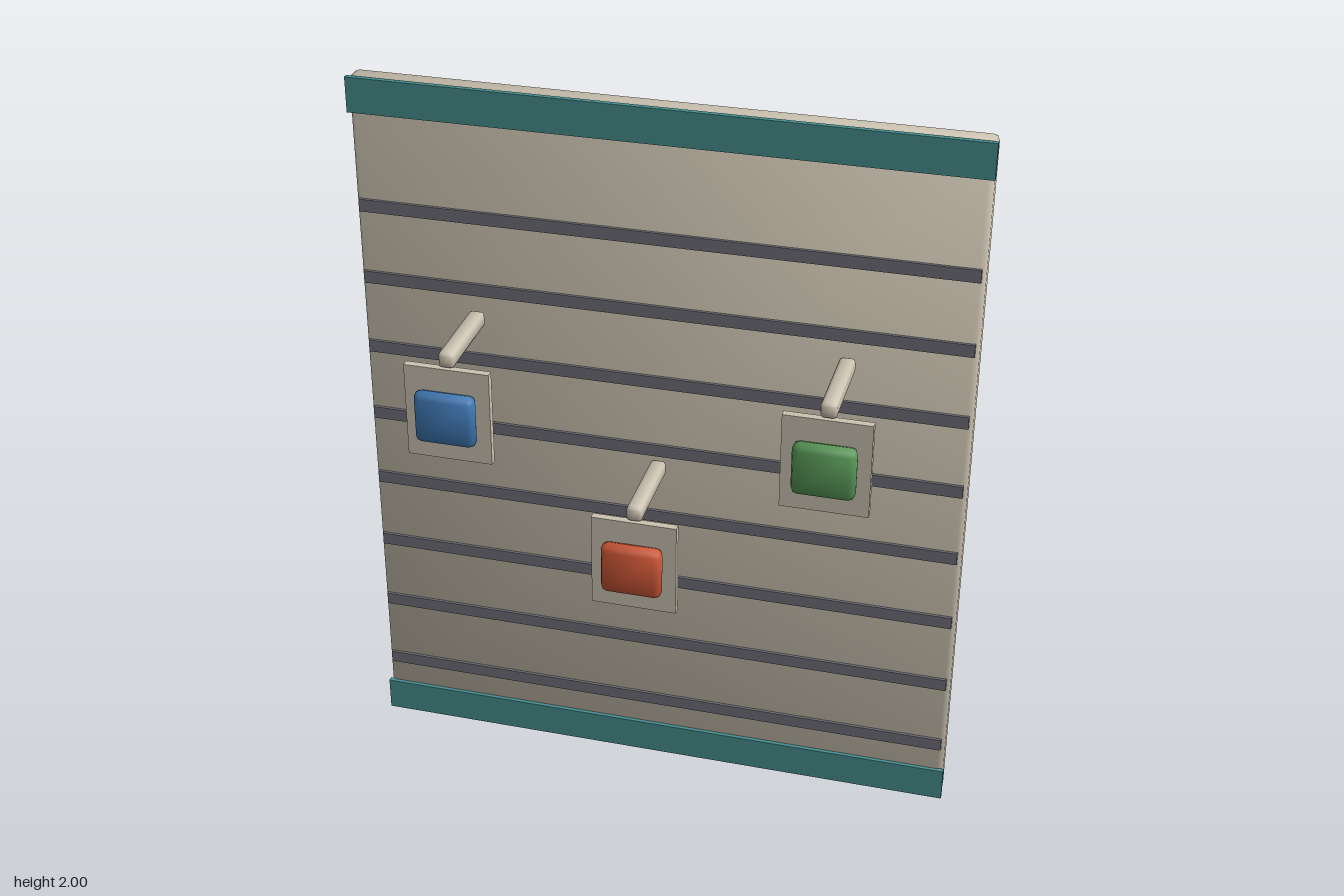
import * as THREE from 'three';
import { RoundedBoxGeometry } from 'three/addons/geometries/RoundedBoxGeometry.js';

const mat = (name, color) => {
  const m = new THREE.MeshStandardMaterial({ color });
  m.name = name;
  return m;
};

// Bevelled box whose normals lean outward, so shading flows softly over each face
function softBox(w, h, d, r) {
  const geo = new RoundedBoxGeometry(w, h, d, 1, r);
  const pos = geo.attributes.position, nor = geo.attributes.normal;
  const n = new THREE.Vector3();
  for (let i = 0; i < pos.count; i++) {
    n.fromBufferAttribute(nor, i);
    n.x += 0.45 * Math.sign(pos.getX(i));
    n.y += 0.45 * Math.sign(pos.getY(i));
    n.z += 0.45 * Math.sign(pos.getZ(i));
    n.normalize();
    nor.setXYZ(i, n.x, n.y, n.z);
  }
  return geo;
}

function add(parent, name, geo, material, x, y, z) {
  const mesh = new THREE.Mesh(geo, material);
  mesh.name = name;
  mesh.position.set(x, y, z);
  parent.add(mesh);
  return mesh;
}

export function createModel() {
  const group = new THREE.Group();
  group.name = 'slatwallDisplay';

  const beige = mat('warmBeige', 0xcdc4b2);
  const teal = mat('teal', 0x489090);
  const grey = mat('grooveGrey', 0x70717a);
  const blue = mat('blue', 0x3f78b4);
  const green = mat('green', 0x589858);
  const red = mat('red', 0xcc5636);

  // Back panel
  add(group, 'panel', softBox(1.66, 2, 0.064, 0.016), beige, 0, 1, -0.156);

  // Trim bands along the top and bottom edges
  const trim = new THREE.BoxGeometry(1.666, 0.096, 0.014);
  add(group, 'topTrim', trim, teal, 0, 1.952, -0.12);
  add(group, 'bottomTrim', trim, teal, 0, 0.048, -0.12);

  // Horizontal grooves, drawn as thin strips
  const groove = new THREE.BoxGeometry(1.64, 0.035, 0.009);
  for (let i = 0; i < 8; i++) {
    add(group, 'groove', groove, grey, 0, 0.185 + i * 0.2085, -0.1205);
  }

  // Hooks, each carrying a card with a coloured product
  const arm = softBox(0.043, 0.043, 0.258, 0.01);
  const card = new THREE.BoxGeometry(0.232, 0.266, 0.021);
  const product = softBox(0.166, 0.147, 0.042, 0.018);
  for (const [name, x, y, colour] of [
    ['rightHook', -0.5, 1.202, blue],
    ['leftHook', 0.5, 1.202, green],
    ['centreHook', 0, 0.818, red],
  ]) {
    const hook = new THREE.Group();
    hook.name = name;
    hook.position.set(x, y, 0);
    add(hook, 'arm', arm, beige, 0, 0.157, 0.017);
    add(hook, 'card', card, beige, 0, 0, 0.1365);
    add(hook, 'product', product, colour, 0, 0, 0.167);
    group.add(hook);
  }
  return group;
}
